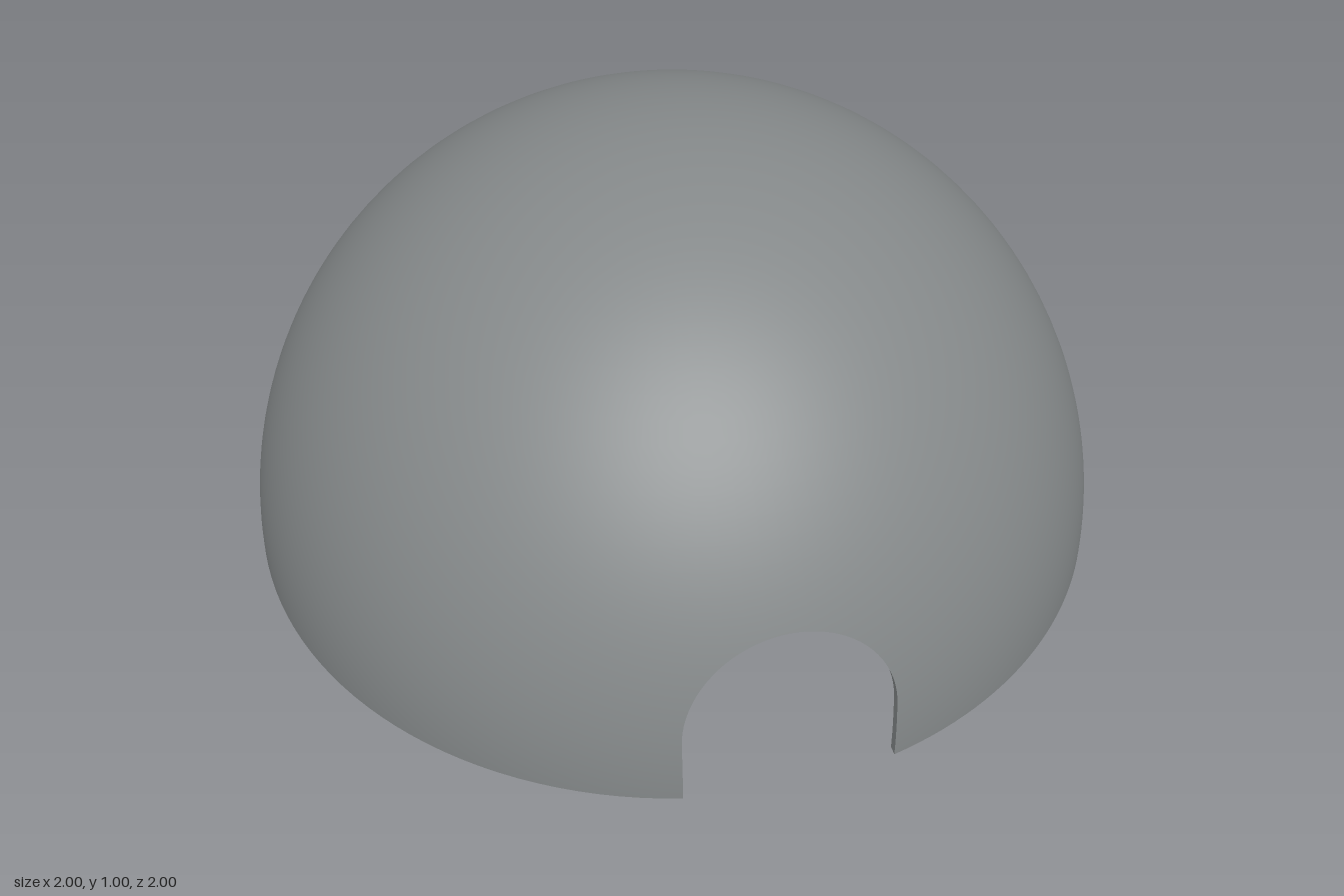
import * as THREE from 'three';

const OUTER = 1, INNER = 0.98;
const HALF_WIDTH = 0.23, SPRING = 0.145;          // arched doorway: jambs, then a half circle
const DOORS = [-51.1, 42.35].map(THREE.MathUtils.degToRad);
const JAMB_ROWS = 4, ARCH_ROWS = 20, CAP_ROWS = 24;
const DOOR_ROWS = JAMB_ROWS + ARCH_ROWS;

// Height and half width of the doorway outline at a row; above the arch it is closed
function outline(row, r) {
  if (row <= JAMB_ROWS) return { y: SPRING * row / JAMB_ROWS, half: HALF_WIDTH };
  if (row < DOOR_ROWS) {
    const t = (row - JAMB_ROWS) / ARCH_ROWS * Math.PI / 2;
    return { y: SPRING + HALF_WIDTH * Math.sin(t), half: HALF_WIDTH * Math.cos(t) };
  }
  const start = Math.asin((SPRING + HALF_WIDTH) / r);
  const elevation = THREE.MathUtils.lerp(start, Math.PI / 2, (row - DOOR_ROWS) / CAP_ROWS);
  return { y: r * Math.sin(elevation), half: 0 };
}

// Point on a sphere of radius r at height y
function onSphere(r, y, azimuth) {
  const ring = Math.sqrt(Math.max(0, r * r - y * y));
  return new THREE.Vector3(ring * Math.cos(azimuth), y, ring * Math.sin(azimuth));
}

// Angle from a door's centre line to its edge
function edgeAngle(r, { y, half }) {
  return half === 0 ? 0 : Math.asin(half / Math.sqrt(r * r - y * y));
}

// Quad grid from a point function; normalSign gives exact sphere normals
function grid(nu, nv, point, normalSign = 0) {
  const positions = [], normals = [], index = [];
  for (let j = 0; j <= nv; j++) {
    for (let i = 0; i <= nu; i++) {
      const p = point(i, j);
      positions.push(p.x, p.y, p.z);
      p.normalize().multiplyScalar(normalSign);
      normals.push(p.x, p.y, p.z);
      if (i < nu && j < nv) {
        const a = j * (nu + 1) + i, c = a + nu + 1;
        index.push(a, a + 1, c, a + 1, c + 1, c);
      }
    }
  }
  const geometry = new THREE.BufferGeometry();
  geometry.setAttribute('position', new THREE.Float32BufferAttribute(positions, 3));
  geometry.setIndex(index);
  if (normalSign) geometry.setAttribute('normal', new THREE.Float32BufferAttribute(normals, 3));
  else geometry.computeVertexNormals();
  return geometry;
}

export function createModel() {
  const model = new THREE.Group();
  model.name = 'dome';
  const grey = new THREE.MeshStandardMaterial({ color: 0x848889 });
  grey.name = 'grey';
  const add = (name, geometry) => {
    const mesh = new THREE.Mesh(geometry, grey);
    mesh.name = name;
    model.add(mesh);
  };

  // The shell in two sectors, each running from one door to the next
  const sectors = [
    { name: 'narrow', from: DOORS[0], to: DOORS[1], columns: 36 },
    { name: 'wide', from: DOORS[1], to: DOORS[0] + 2 * Math.PI, columns: 96 },
  ];
  for (const { name, from, to, columns } of sectors) {
    const wall = (r, row, k) => {
      const o = outline(row, r), w = edgeAngle(r, o);
      return onSphere(r, o.y, THREE.MathUtils.lerp(from + w, to - w, k));
    };
    const rows = DOOR_ROWS + CAP_ROWS;
    add(name + 'OuterShell', grid(columns, rows, (i, j) => wall(OUTER, j, 1 - i / columns), 1));
    add(name + 'InnerShell', grid(columns, rows, (i, j) => wall(INNER, j, i / columns), -1));
    add(name + 'BottomRim', grid(columns, 1, (i, j) => wall(j ? INNER : OUTER, 0, i / columns)));
  }

  // Edge of the shell around each doorway, up one side and down the other
  DOORS.forEach((centre, n) => {
    add(n ? 'frontDoorwayEdge' : 'backDoorwayEdge', grid(2 * DOOR_ROWS, 1, (i, j) => {
      const r = j ? INNER : OUTER;
      const side = i < DOOR_ROWS ? -1 : 1;
      const o = outline(DOOR_ROWS - Math.abs(i - DOOR_ROWS), r);
      return onSphere(r, o.y, centre + side * edgeAngle(r, o));
    }));
  });
  return model;
}
